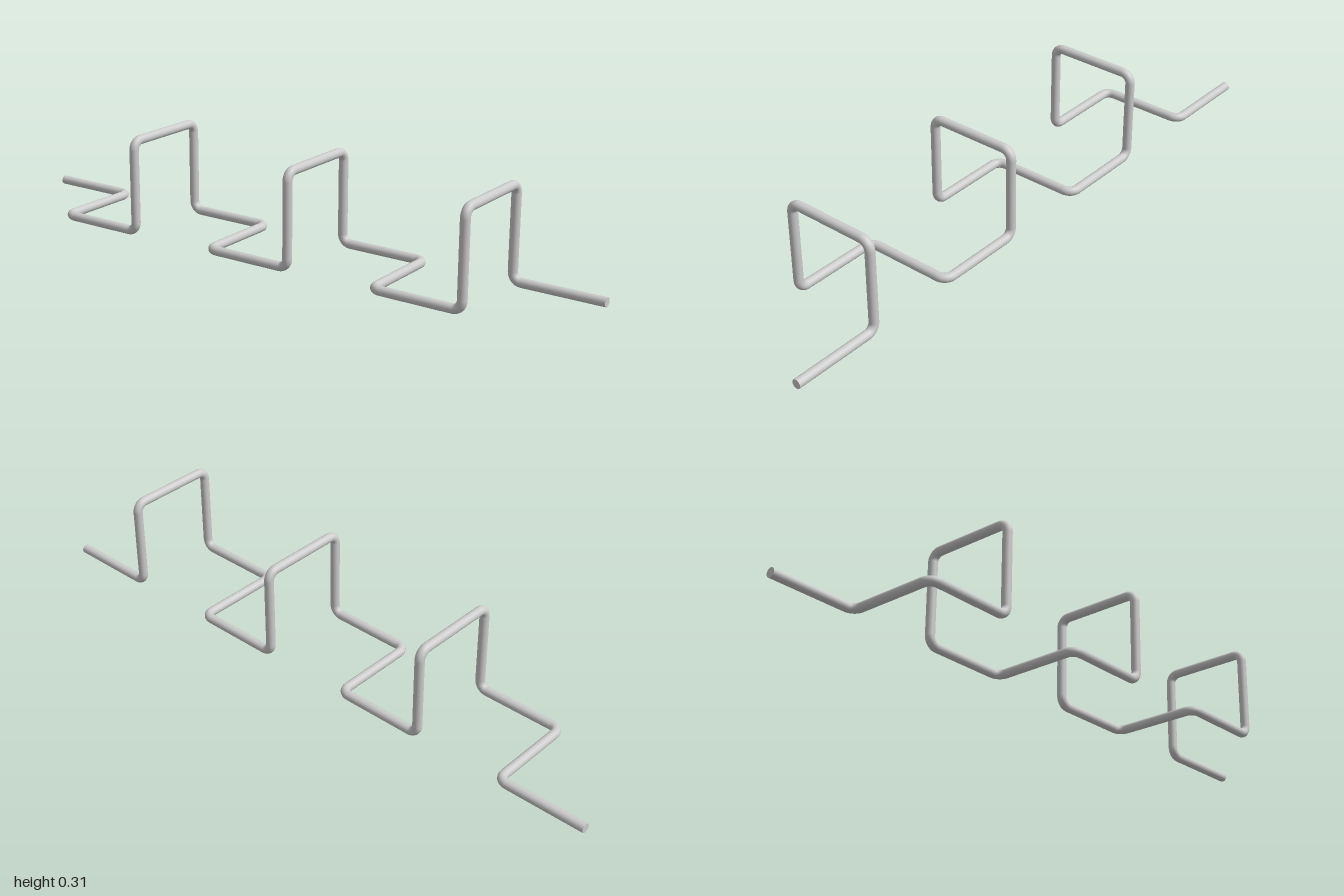
import * as THREE from 'three';

const STEP = 2 / 7;          // length of every straight run
const R = 0.0143;            // rod radius
const BEND = 0.0286;         // centre-line bend radius
const BEND_STEPS = 8;

// Corner points of the bent rod: a floor zigzag, then an upright arch, repeated
function corners() {
  const h = STEP / 2, low = R, high = R + STEP;
  const pts = [new THREE.Vector3(-1, low, -h)];
  for (let i = 0; i < 3; i++) {
    const x = -1 + STEP * (2 * i + 1);
    pts.push(
      new THREE.Vector3(x, low, -h),
      new THREE.Vector3(x, low, h),
      new THREE.Vector3(x + STEP, low, h),
      new THREE.Vector3(x + STEP, high, h),
      new THREE.Vector3(x + STEP, high, -h),
      new THREE.Vector3(x + STEP, low, -h)
    );
  }
  pts.push(new THREE.Vector3(1, low, -h));
  return pts;
}

// Curve with exact stations: straight runs joined by quarter-circle bends
class BentRodCurve extends THREE.Curve {
  constructor(pts) {
    super();
    const dir = (i) => pts[i + 1].clone().sub(pts[i]).normalize();
    const last = pts.length - 1;
    this.stations = [{ p: pts[0], t: dir(0) }];
    for (let i = 1; i < last; i++) {
      const a = dir(i - 1), b = dir(i);
      const centre = pts[i].clone().addScaledVector(a, -BEND).addScaledVector(b, BEND);
      for (let k = 0; k <= BEND_STEPS; k++) {
        const q = (k / BEND_STEPS) * Math.PI / 2, c = Math.cos(q), s = Math.sin(q);
        this.stations.push({
          p: centre.clone().addScaledVector(b, -BEND * c).addScaledVector(a, BEND * s),
          t: a.clone().multiplyScalar(c).addScaledVector(b, s).normalize()
        });
      }
    }
    this.stations.push({ p: pts[last], t: dir(last - 1) });
  }
  at(u) { return this.stations[Math.round(u * (this.stations.length - 1))]; }
  getPointAt(u, target = new THREE.Vector3()) { return target.copy(this.at(u).p); }
  getTangentAt(u, target = new THREE.Vector3()) { return target.copy(this.at(u).t); }
  getPoint(u, target) { return this.getPointAt(u, target); }
  getTangent(u, target) { return this.getTangentAt(u, target); }
}

export function createModel() {
  const group = new THREE.Group();
  group.name = 'bentRod';
  const material = new THREE.MeshStandardMaterial({ color: 0xcccccc });

  // Continuous round rod
  const curve = new BentRodCurve(corners());
  const rod = new THREE.Mesh(
    new THREE.TubeGeometry(curve, curve.stations.length - 1, R, 24, false), material);
  rod.name = 'rod';
  group.add(rod);

  // Flat end caps
  for (const side of [-1, 1]) {
    const cap = new THREE.Mesh(new THREE.CircleGeometry(R, 24), material);
    cap.name = side > 0 ? 'leftEndCap' : 'rightEndCap';
    cap.position.set(side, R, -STEP / 2);
    cap.rotation.y = side * Math.PI / 2;
    group.add(cap);
  }
  return group;
}
